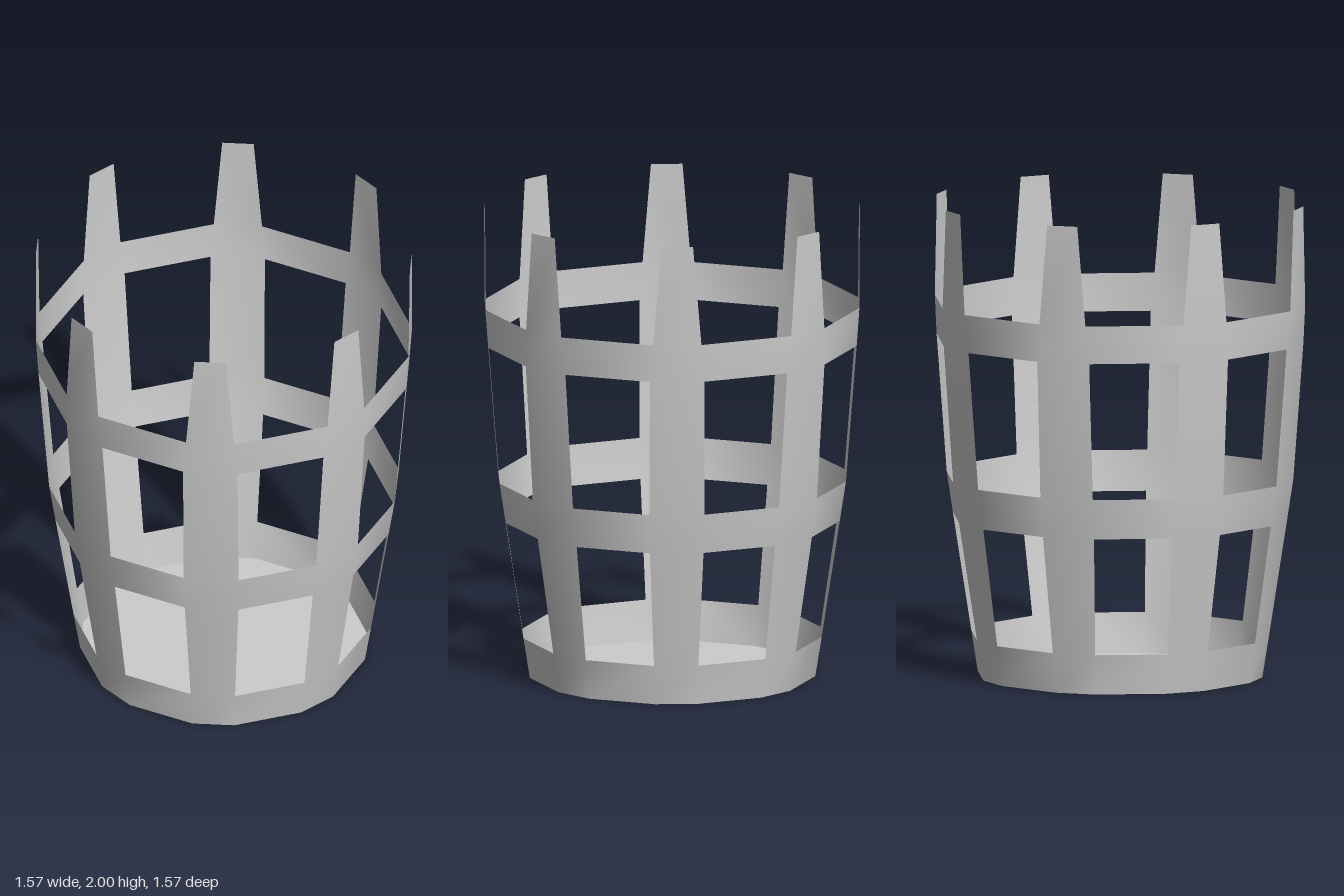
import * as THREE from 'three';

const POSTS = 8;
const FIRST = Math.PI / 16; // angle of the first post, from +z towards +x

// Levels of the wall: height, corner radius, half width of a post
const LEVELS = [
  [0, 0.603, 0.088],
  [0.17, 0.63, 0.093],
  [0.67, 0.707, 0.112],
  [0.84, 0.733, 0.115],
  [1.42, 0.777, 0.114],
  [1.58, 0.787, 0.101],
  [2, 0.786, 0.066],
];
const RINGS = [0, 2, 4]; // level spans closed all the way round

// Two corners per post, anticlockwise seen from below
function levelCorners([y, r, half]) {
  const spread = Math.asin(half / r);
  const corners = [];
  for (let p = 0; p < POSTS; p++) {
    for (const side of [-1, 1]) {
      const a = FIRST + (p * 2 * Math.PI) / POSTS + side * spread;
      corners.push(new THREE.Vector3(r * Math.sin(a), y, r * Math.cos(a)));
    }
  }
  return corners;
}

// Thin wall of upright posts joined by flat rings, with open windows between
function wallGeometry() {
  const n = POSTS * 2;
  const points = LEVELS.flatMap(levelCorners);
  const index = [];
  for (let i = 0; i < LEVELS.length - 1; i++) {
    for (let j = 0; j < n; j++) {
      const isPost = j % 2 === 0;
      if (!isPost && !RINGS.includes(i)) continue;
      const k = (j + 1) % n;
      const a = i * n + j, b = i * n + k, c = b + n, d = a + n;
      index.push(a, b, c, a, c, d);
    }
  }
  const geometry = new THREE.BufferGeometry().setFromPoints(points);
  geometry.setIndex(index);
  geometry.computeVertexNormals();
  return geometry;
}

export function createModel() {
  const group = new THREE.Group();
  group.name = 'basket';
  const material = new THREE.MeshStandardMaterial({ color: 0xcccccc, side: THREE.DoubleSide });

  const wall = new THREE.Mesh(wallGeometry(), material);
  wall.name = 'slattedWall';
  group.add(wall);

  // Solid floor with the same outline as the foot of the wall
  const outline = levelCorners(LEVELS[0]).map((v) => new THREE.Vector2(v.x, -v.z));
  const floor = new THREE.Mesh(new THREE.ShapeGeometry(new THREE.Shape(outline)), material);
  floor.name = 'floor';
  floor.rotation.x = -Math.PI / 2;
  group.add(floor);

  return group;
}
